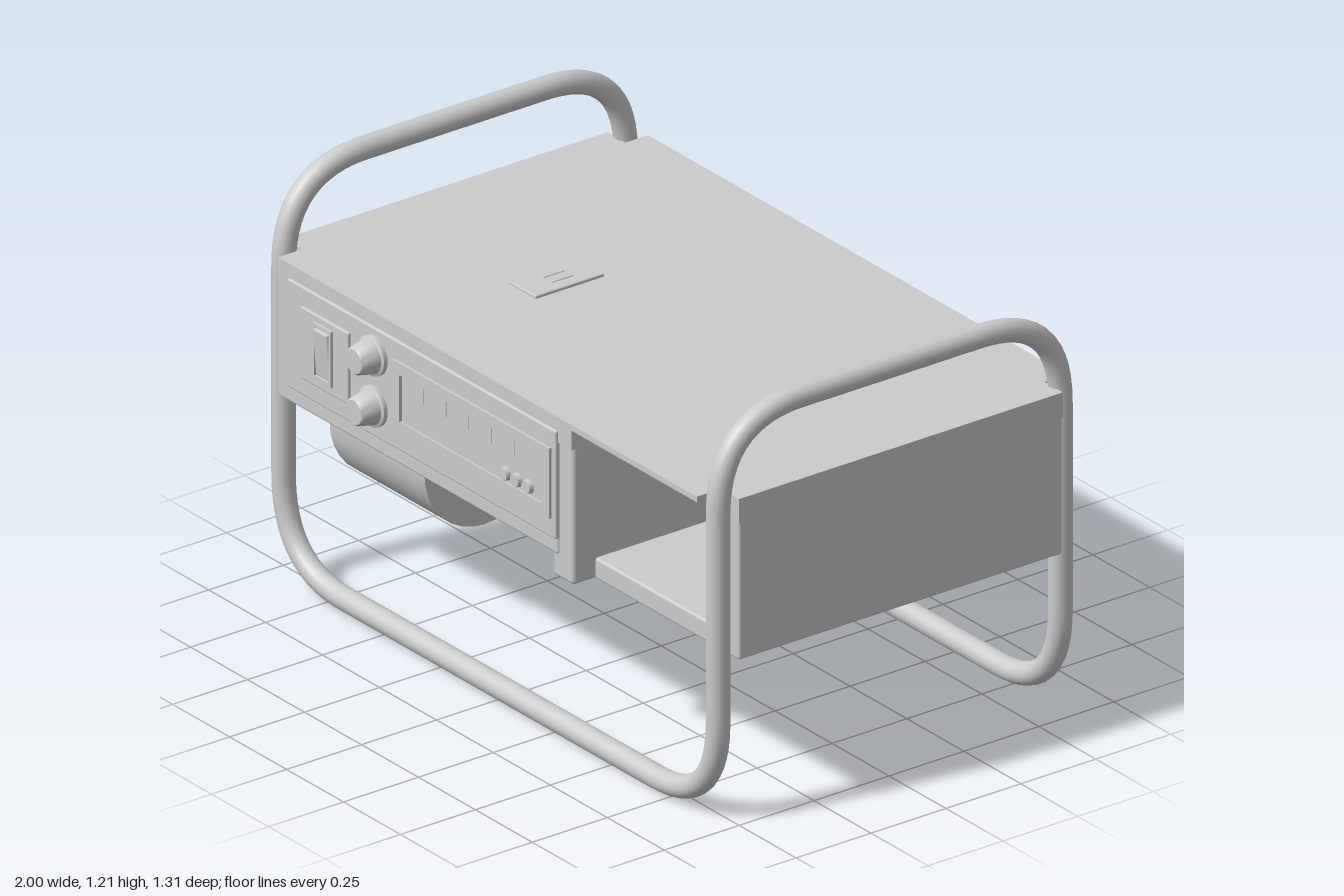
import * as THREE from 'three';
import { RoundedBoxGeometry } from 'three/addons/geometries/RoundedBoxGeometry.js';
import { toCreasedNormals } from 'three/addons/utils/BufferGeometryUtils.js';

const grey = new THREE.MeshStandardMaterial({ color: 0xcccccc, side: THREE.DoubleSide });

export function createModel() {
  const model = new THREE.Group();
  model.name = 'portableUnit';

  const add = (name, geometry, x = 0, y = 0, z = 0) => {
    const mesh = new THREE.Mesh(geometry, grey);
    mesh.name = name;
    mesh.position.set(x, y, z);
    model.add(mesh);
    return mesh;
  };
  // Box given by its limits on each axis, with slightly rounded edges
  const box = (name, [x0, x1], [y0, y1], [z0, z1], r = 0.008) =>
    add(name, new RoundedBoxGeometry(x1 - x0, y1 - y0, z1 - z0, 2, r),
      (x0 + x1) / 2, (y0 + y1) / 2, (z0 + z1) / 2);

  // Straight runs joined by soft bends
  const bentPath = (points, bend, closed) => {
    const path = new THREE.CurvePath();
    const n = points.length;
    const toward = (a, b) => a.clone().add(b.clone().sub(a).setLength(bend));
    const first = closed ? 0 : 1, last = closed ? n : n - 1;
    let from = closed ? toward(points[0], points[n - 1]) : points[0];
    for (let i = first; i < last; i++) {
      const p = points[i], enter = toward(p, points[(i + n - 1) % n]), leave = toward(p, points[(i + 1) % n]);
      if (from.distanceTo(enter) > 1e-4) path.add(new THREE.LineCurve3(from, enter));
      path.add(new THREE.QuadraticBezierCurve3(enter, p, leave));
      from = leave;
    }
    const end = closed ? toward(points[0], points[n - 1]) : points[n - 1];
    path.add(new THREE.LineCurve3(from, end));
    return path;
  };
  const v = (x, y, z) => new THREE.Vector3(x, y, z);

  // Carrying frame: one continuous tube
  const X = 0.954, low = 0.036, high = 1.184, zf = 0.535, zb = -0.607;
  const loop = [v(-X, low, zf), v(X, low, zf), v(X, high, zf), v(X, high, zb),
    v(X, low, zb), v(-X, low, zb), v(-X, high, zb), v(-X, high, zf)];
  add('tubeFrame', new THREE.TubeGeometry(bentPath(loop, 0.27, true), 320, 0.033, 16, true));

  // Top plate, notched at the corners for the tubes and at the front bay
  const plan = [[-0.92, 0.58], [0.37, 0.58], [0.37, 0.4], [0.92, 0.4], [0.92, 0.5], [1, 0.5],
    [1, -0.58], [0.92, -0.58], [0.92, -0.655], [-0.92, -0.655], [-0.92, -0.58], [-1, -0.58],
    [-1, 0.5], [-0.92, 0.5]];
  const plate = new THREE.ExtrudeGeometry(new THREE.Shape(plan.map(([x, z]) => new THREE.Vector2(x, -z))),
    { depth: 0.075, bevelEnabled: false });
  plate.rotateX(-Math.PI / 2);
  add('topPlate', plate, 0, 0.89, 0);

  // Thin lip over the bay, underside sloping up to the front
  const lipSide = new THREE.Shape([[0.4, 0.89], [0.58, 0.948], [0.58, 0.965], [0.4, 0.965]]
    .map(([z, y]) => new THREE.Vector2(-z, y)));
  const lip = new THREE.ExtrudeGeometry(lipSide, { depth: 0.55, bevelEnabled: false });
  lip.rotateY(Math.PI / 2);
  add('bayLip', lip, 0.37, 0, 0);

  // Storage bay, open to the front
  box('bayFloor', [0.3, 0.99], [0.488, 0.55], [-0.57, 0.5]);
  box('bayBackWall', [0.28, 0.92], [0.488, 0.9], [-0.655, -0.56], 0.012);
  box('bayInnerWall', [0.28, 0.37], [0.488, 0.9], [-0.65, 0.575], 0.012);
  box('baySideWall', [0.92, 1], [0.488, 0.964], [-0.58, 0.5], 0.008);

  // Housings beneath the plate
  box('controlHousing', [-0.92, 0.31], [0.558, 0.955], [0.28, 0.58]);
  box('middleHousing', [-0.29, 0.3], [0.558, 0.9], [-0.46, 0.3]);
  box('motorMount', [-0.88, -0.45], [0.558, 0.9], [0.0, 0.3]);
  box('rearTank', [-0.915, -0.425], [0.255, 0.9], [-0.475, -0.035]);

  // Motor drum lying along x: recessed outer end, tapered neck at the inner end
  const drumProfile = [[0, 0.07], [0.165, 0.05], [0.175, 0], [0.195, 0], [0.202, 0.008], [0.202, 0.425],
    [0.085, 0.43], [0.052, 0.485], [0, 0.485]].map(([r, h]) => new THREE.Vector2(r, h));
  const drum = toCreasedNormals(new THREE.LatheGeometry(drumProfile, 32), 0.6);
  drum.rotateZ(-Math.PI / 2);
  add('motorDrum', drum, -0.88, 0.46, 0.242);

  // Pipe from the drum neck up into the housing
  const pipe = bentPath([v(-0.42, 0.46, 0.242), v(0.06, 0.46, 0.242), v(0.06, 0.62, 0.242)], 0.1, false);
  add('outletPipe', new THREE.TubeGeometry(pipe, 60, 0.031, 14));

  // Rectangular raised border on the front face
  const border = (name, x0, x1, y0, y1, w, z, depth) => {
    const rect = (C, i) => new C([[x0 + i, y0 + i], [x1 - i, y0 + i], [x1 - i, y1 - i], [x0 + i, y1 - i]]
      .map(([x, y]) => new THREE.Vector2(x, y)));
    const shape = rect(THREE.Shape, 0);
    shape.holes.push(rect(THREE.Path, w));
    add(name, new THREE.ExtrudeGeometry(shape, { depth, bevelEnabled: false }), 0, 0, z);
  };

  // Control panel
  box('controlPanel', [-0.87, 0.31], [0.605, 0.925], [0.57, 0.588], 0.006);
  box('switchPlate', [-0.8, -0.59], [0.66, 0.872], [0.58, 0.597], 0.005);
  border('switchBorder', -0.738, -0.655, 0.688, 0.852, 0.01, 0.595, 0.01);
  const rocker = box('rockerSwitch', [-0.728, -0.665], [0.7, 0.84], [0.586, 0.606], 0.005);
  rocker.rotation.x = 0.08;

  // Pair of tapered knobs on flat collars
  const knobProfile = [[0.058, 0], [0.058, 0.014], [0.05, 0.018], [0.04, 0.066], [0.035, 0.072], [0, 0.072]]
    .map(([r, h]) => new THREE.Vector2(r, h));
  for (const y of [0.697, 0.847]) {
    const knob = toCreasedNormals(new THREE.LatheGeometry(knobProfile, 24), 0.6);
    knob.rotateX(Math.PI / 2);
    add('knob', knob, -0.485, y, 0.586);
  }

  // Dial window with tick marks and three buttons
  border('dialBorder', -0.4, 0.292, 0.662, 0.87, 0.035, 0.585, 0.012);
  box('dialFace', [-0.362, 0.255], [0.682, 0.85], [0.582, 0.59], 0.003);
  for (let i = 0; i < 5; i++) {
    const x = -0.27 + i * 0.1;
    box('dialTick', [x - 0.003, x + 0.003], [0.785, 0.84], [0.588, 0.592], 0.001);
  }
  for (const x of [0.098, 0.148, 0.198]) {
    const button = new THREE.CylinderGeometry(0.018, 0.021, 0.018, 18);
    button.rotateX(Math.PI / 2);
    add('button', button, x, 0.722, 0.595);
  }

  // Small slotted cover on top
  box('topCover', [-0.422, -0.302], [0.955, 0.974], [-0.04, 0.19], 0.004);
  for (const x of [-0.382, -0.345]) {
    box('coverSlot', [x - 0.006, x + 0.006], [0.968, 0.977], [0.035, 0.11], 0.003);
  }

  return model;
}
